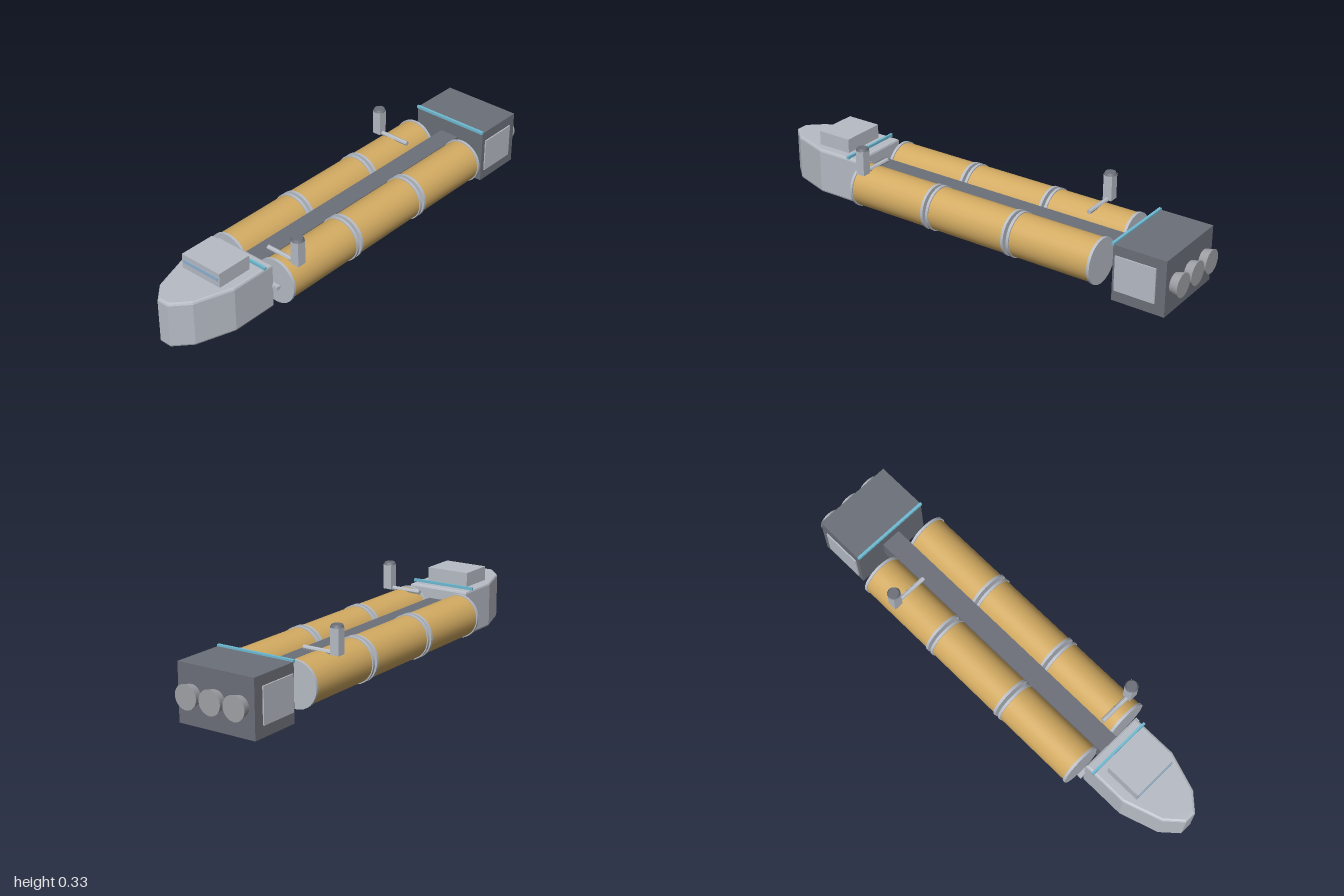
import * as THREE from 'three';

const mat = (name, color) => Object.assign(new THREE.MeshStandardMaterial({ color }), { name });

export function createModel() {
  const ship = new THREE.Group();
  ship.name = 'cargoSpaceship';
  const pale = mat('pale grey', 0xb8bdc6);
  const dark = mat('dark grey', 0x6c7079);
  const tan = mat('cargo tan', 0xd3ab62);
  const cyan = mat('cyan light', 0x6fbcd4);
  const glass = mat('window blue', 0x8fb2d2);
  const steel = mat('nozzle grey', 0xa0a3a8);
  const flatPale = mat('pale grey faceted', 0xb8bdc6);
  flatPale.flatShading = true;

  const add = (name, geometry, material, x = 0, y = 0, z = 0, parent = ship) => {
    const mesh = new THREE.Mesh(geometry, material);
    mesh.name = name;
    mesh.position.set(x, y, z);
    parent.add(mesh);
    return mesh;
  };
  // box given by its limits along each axis
  const box = (name, material, x0, x1, y0, y1, z0, z1, parent) =>
    add(name, new THREE.BoxGeometry(x1 - x0, y1 - y0, z1 - z0), material,
      (x0 + x1) / 2, (y0 + y1) / 2, (z0 + z1) / 2, parent);

  // Bow: plan outline extruded upwards with a small bevel
  const bevel = 0.01;
  const half = [[0.134, 0.571], [0.134, 0.765], [0.081, 0.925], [0.022, 0.99]];
  const outline = [...half, ...half.map(([x, z]) => [-x, z]).reverse()];
  const plan = new THREE.Shape(outline.map(([x, z]) => new THREE.Vector2(x, -z)));
  const bowGeometry = new THREE.ExtrudeGeometry(plan, {
    depth: 0.203 - 2 * bevel, bevelEnabled: true, bevelSize: bevel,
    bevelThickness: bevel, bevelSegments: 2,
  });
  bowGeometry.rotateX(-Math.PI / 2);
  add('bowHull', bowGeometry, flatPale, 0, 0.02 + bevel, 0);

  // Bridge on the bow
  box('bridge', pale, -0.1, 0.1, 0.218, 0.286, 0.64, 0.8);
  box('bridgeWindow', glass, -0.093, 0.093, 0.25, 0.265, 0.799, 0.803);
  box('bowLightStrip', cyan, -0.15, 0.15, 0.222, 0.235, 0.6, 0.61);
  box('bowCrossbar', pale, -0.172, 0.172, 0.115, 0.129, 0.549, 0.568);

  // Central spine
  box('spine', dark, -0.045, 0.045, 0.08, 0.17, -0.74, 0.58);

  // Cargo tanks: three per side, with rims at both ends
  const length = 0.386;
  const sides = 16;
  const turn = Math.PI / sides;
  const tankGeometry = new THREE.CylinderGeometry(0.092, 0.092, length - 0.004, 32);
  const rimGeometry = new THREE.CylinderGeometry(0.097, 0.097, 0.012, sides * 2);
  for (const g of [tankGeometry, rimGeometry]) g.rotateX(Math.PI / 2);
  rimGeometry.rotateZ(turn);
  for (const side of [-1, 1]) {
    for (let i = 0; i < 3; i++) {
      const tank = new THREE.Group();
      tank.name = 'cargoTank';
      tank.position.set(side * 0.13, 0.122, 0.532 - length / 2 - i * 0.4);
      ship.add(tank);
      add('tankBody', tankGeometry, tan, 0, 0, 0, tank);
      for (const end of [-1, 1]) {
        add('tankRim', rimGeometry, pale, 0, 0, end * (length / 2 - 0.006), tank);
      }
    }
  }

  // Turret posts on arms, one on each side
  const armGeometry = new THREE.CylinderGeometry(0.01, 0.01, 0.16, 8);
  armGeometry.rotateZ(Math.PI / 2);
  const capGeometry = new THREE.CylinderGeometry(0.022, 0.028, 0.011, 12);
  for (const [side, z] of [[1, 0.477], [-1, -0.483]]) {
    const turret = new THREE.Group();
    turret.name = 'turret';
    turret.position.z = z;
    ship.add(turret);
    add('turretArm', armGeometry, flatPale, side * 0.122, 0.213, 0, turret);
    add('turretPost', new THREE.BoxGeometry(0.04, 0.11, 0.04), pale, side * 0.2, 0.265, 0, turret);
    add('turretCap', capGeometry, dark, side * 0.2, 0.3245, 0, turret);
  }

  // Engine block with side panels and light strip
  box('engineBlock', dark, -0.18, 0.18, 0, 0.24, -0.962, -0.73);
  box('engineLightStrip', cyan, -0.181, 0.181, 0.236, 0.248, -0.734, -0.722);
  for (const side of [-1, 1]) {
    add('sidePanel', new THREE.BoxGeometry(0.006, 0.15, 0.178), pale, side * 0.187, 0.125, -0.833);
  }

  // Engine nozzles flaring backwards
  const nozzleGeometry = new THREE.CylinderGeometry(0.04, 0.051, 0.045, 20);
  nozzleGeometry.rotateX(Math.PI / 2);
  for (const x of [-0.113, 0, 0.113]) {
    add('engineNozzle', nozzleGeometry, steel, x, 0.122, -0.9775);
  }
  return ship;
}
